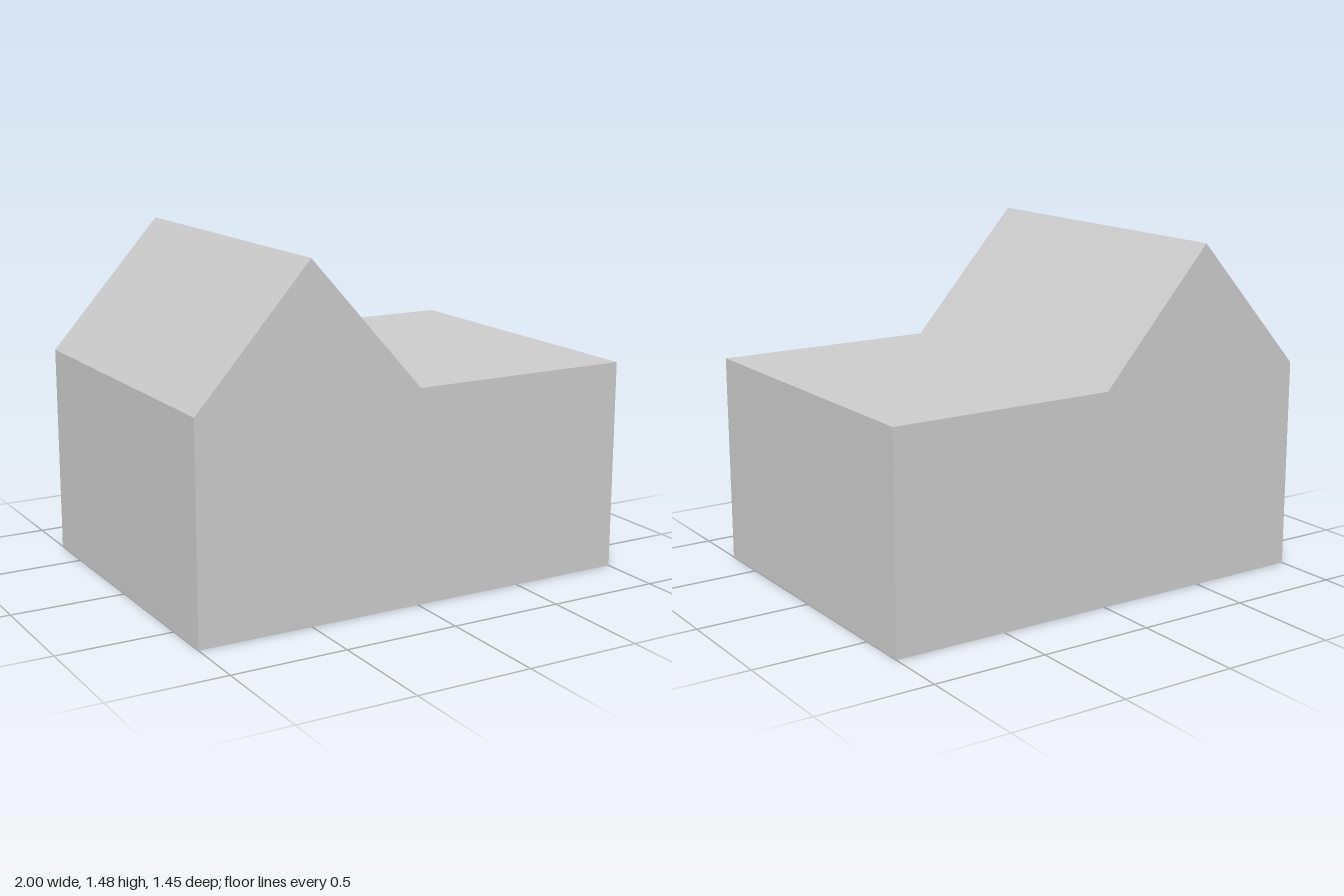
import * as THREE from 'three';

const DEPTH = 1.45;
const EAVES = 0.92;
const RIDGE = 1.48;

export function createModel() {
  const model = new THREE.Group();
  model.name = 'building';

  // Front outline: a gabled half on the right, a flat-roofed half on the left
  const outline = new THREE.Shape([
    [-1, 0], [1, 0], [1, EAVES], [0, EAVES], [-0.5, RIDGE], [-1, EAVES],
  ].map(([x, y]) => new THREE.Vector2(x, y)));

  // Solid block, extruded from back to front
  const geometry = new THREE.ExtrudeGeometry(outline, { depth: DEPTH, bevelEnabled: false });
  geometry.translate(0, 0, -DEPTH / 2);

  const block = new THREE.Mesh(
    geometry,
    new THREE.MeshStandardMaterial({ color: 0xcccccc, flatShading: true }),
  );
  block.name = 'gabledBlock';
  model.add(block);

  return model;
}
